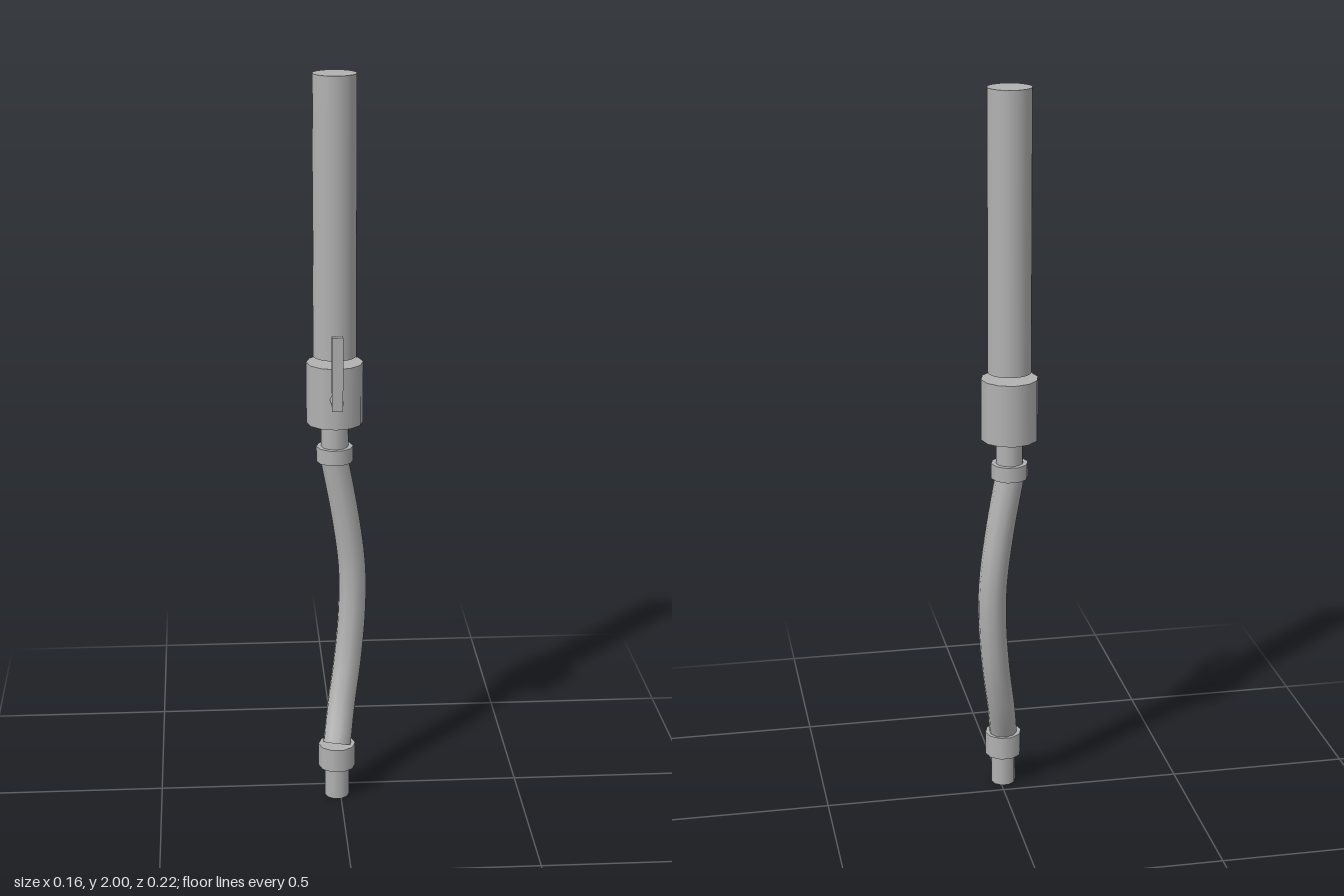
import * as THREE from 'three';

export function createModel() {
  const model = new THREE.Group();
  const metal = new THREE.MeshStandardMaterial({ color: 0xb2b2b2 });
  metal.name = 'grey metal';
  const X = -0.01, Z_TOP = -0.033, Z_FOOT = 0.06;

  const add = (name, geometry) => {
    const mesh = new THREE.Mesh(geometry, metal);
    mesh.name = name;
    model.add(mesh);
    return mesh;
  };

  // Upright cylinder between two heights
  const upright = (name, r, y0, y1, z, sides, start = 0) =>
    add(name, new THREE.CylinderGeometry(r, r, y1 - y0, sides, 1, false, start))
      .position.set(X, (y0 + y1) / 2, z);

  // Upper pipe and valve
  upright('upperPipe', 0.058, 1.25, 2, Z_TOP, 32);
  upright('valveBody', 0.0765, 1.065, 1.233, Z_TOP, 12);
  upright('valveNeck', 0.037, 0.985, 1.07, Z_TOP, 12);

  // Hose collars and end nipple
  upright('upperCollar', 0.05, 0.955, 0.997, Z_TOP, 10, Math.PI / 2);
  upright('lowerCollar', 0.051, 0.09, 0.156, Z_FOOT, 10, Math.PI / 2);
  upright('endNipple', 0.034, 0, 0.092, Z_FOOT, 10, Math.PI / 2);

  // Curved hose, bowing to one side and forward at the foot
  const path = new THREE.CatmullRomCurve3([
    [-0.012, 0.965, -0.031], [0.018, 0.8, -0.037], [0.037, 0.65, -0.04],
    [0.037, 0.52, -0.034], [0.024, 0.38, -0.016], [0.005, 0.26, 0.016],
    [-0.01, 0.155, 0.06],
  ].map((p) => new THREE.Vector3(...p)));
  add('hose', new THREE.TubeGeometry(path, 24, 0.039, 10));

  // Cap closing the foot of the hose
  const cap = add('hoseEnd', new THREE.CircleGeometry(0.039, 10));
  cap.position.copy(path.getPoint(1));
  cap.lookAt(cap.position.clone().add(path.getTangent(1)));

  // Lever handle on its spindle
  const spindle = add('leverSpindle', new THREE.CylinderGeometry(0.017, 0.017, 0.06, 8));
  spindle.rotation.x = Math.PI / 2;
  spindle.position.set(X, 1.149, 0.052);
  add('lever', new THREE.BoxGeometry(0.029, 0.201, 0.019)).position.set(X, 1.2325, 0.0845);

  return model;
}
